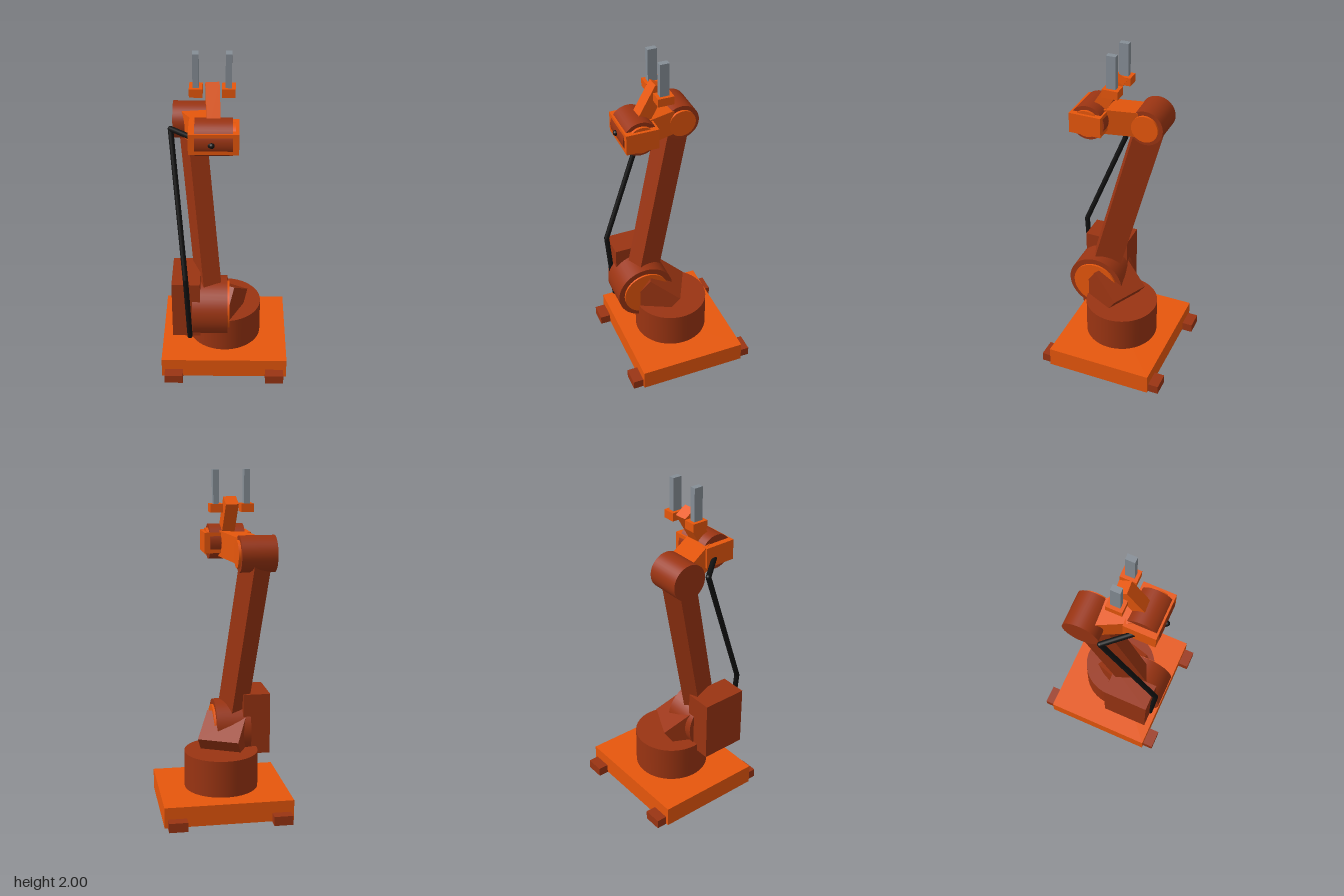
import * as THREE from 'three';

const mat = (name, color) => Object.assign(new THREE.MeshStandardMaterial({ color }), { name });

export function createModel() {
  const orange = mat('bright orange', 0xea580c);
  const rust = mat('dark orange', 0x9a3412);
  const steel = mat('steel grey', 0x868e96);
  const rubber = mat('black rubber', 0x111111);
  const robot = new THREE.Group();
  robot.name = 'robotArm';

  const add = (name, geometry, material, x = 0, y = 0, z = 0) => {
    const mesh = new THREE.Mesh(geometry, material);
    mesh.name = name;
    mesh.position.set(x, y, z);
    robot.add(mesh);
    return mesh;
  };
  // Box given by its lower and upper limits
  const box = (name, material, [x0, x1], [y0, y1], [z0, z1]) =>
    add(name, new THREE.BoxGeometry(x1 - x0, y1 - y0, z1 - z0), material,
      (x0 + x1) / 2, (y0 + y1) / 2, (z0 + z1) / 2);
  // Box running from a to b, with its width kept level
  const beam = (name, material, a, b, width, depth) => {
    const length = a.distanceTo(b);
    const mesh = add(name, new THREE.BoxGeometry(width, depth, length), material);
    mesh.position.lerpVectors(a, b, 0.5);
    mesh.lookAt(b);
    return mesh;
  };
  // Joint drum lying along x, with a bright cap on its left end
  const joint = (name, c, radius, width, capRadius, capWidth) => {
    const drum = (part, r, w, material, x) => {
      const g = new THREE.CylinderGeometry(r, r, w, 40).rotateZ(Math.PI / 2);
      add(part, g, material, x, c.y, c.z);
    };
    drum(name + 'Drum', radius, width, rust, c.x);
    drum(name + 'Cap', capRadius, capWidth, orange, c.x + width / 2 + capWidth / 2);
  };

  const v = (x, y, z) => new THREE.Vector3(x, y, z);
  const shoulder = v(-0.083, 0.435, 0.168);
  const elbow = v(-0.188, 1.535, -0.105);
  const wrist = v(-0.055, 1.576, 0.19);

  // Base slab, feet and turntable
  box('baseSlab', orange, [-0.378, 0.378], [0.003, 0.125], [-0.323, 0.323]);
  for (const sx of [-1, 1]) for (const sz of [-1, 1])
    add('foot', new THREE.BoxGeometry(0.11, 0.055, 0.13), rust, sx * 0.304, 0.0275, sz * 0.32);
  add('turntable', new THREE.CylinderGeometry(0.22, 0.22, 0.22, 48), rust, 0, 0.235, 0);

  // Shoulder bracket, drum and motor cabinet
  beam('shoulderBracket', rust, v(0.003, 0.337, -0.013), v(-0.078, 0.465, 0.15), 0.25, 0.2);
  joint('shoulder', shoulder, 0.174, 0.205, 0.14, 0.012);
  box('motorCabinet', rust, [-0.304, -0.14], [0.3, 0.67], [0.025, 0.3]);

  // Upper arm, elbow and forearm
  beam('upperArm', rust, shoulder, elbow, 0.11, 0.165);
  joint('elbow', elbow, 0.105, 0.205, 0.08, 0.015);
  beam('forearm', orange, elbow, wrist, 0.15, 0.15);

  // Wrist drum with its surrounding housing
  joint('wrist', wrist, 0.103, 0.205, 0.08, 0.016);
  box('wristHousing', orange, [-0.192, 0.081], [1.516, 1.636], [0.095, 0.285]);

  // Gripper stem, pads and fingers
  const hand = v(-0.065, 1.825, 0.042);
  beam('gripperStem', orange, wrist, hand, 0.075, 0.08);
  for (const s of [-1, 1]) {
    const x = hand.x + s * 0.089;
    add('gripperPad', new THREE.BoxGeometry(0.073, 0.048, 0.094), orange, x, 1.784, 0.046);
    add('gripperFinger', new THREE.BoxGeometry(0.034, 0.192, 0.055), steel, x, 1.904, 0.047);
  }

  // Cable: straight runs with rounded corners
  const path = [v(-0.203, 0.295, 0.297), v(-0.22, 0.73, 0.328),
    v(-0.3, 1.535, 0.016), v(-0.064, 1.576, 0.295)];
  for (let i = 0; i < path.length; i++) {
    add('cableCorner', new THREE.SphereGeometry(0.0155, 16, 12), rubber, ...path[i].toArray());
    if (i === 0) continue;
    const run = new THREE.LineCurve3(path[i - 1], path[i]);
    add('cableRun', new THREE.TubeGeometry(run, 1, 0.0155, 16), rubber);
  }
  return robot;
}
